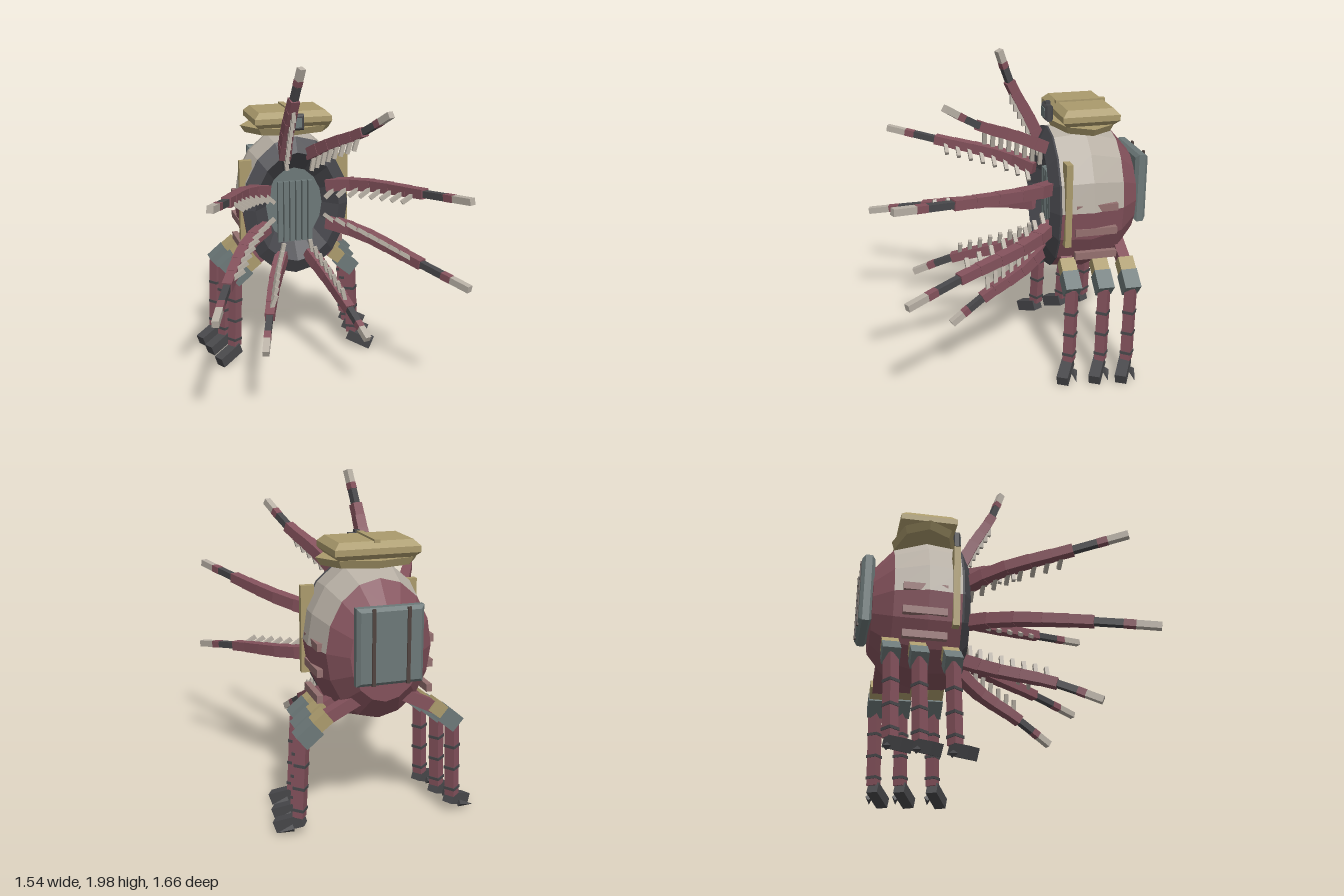
import * as THREE from 'three';

const mat = (name, color, side = THREE.FrontSide) => {
  const m = new THREE.MeshStandardMaterial({ color, flatShading: true, side });
  m.name = name;
  return m;
};
const maroon = mat('maroon', 0x84525c);
const pale = mat('pale', 0xb8b0a5);
const tan = mat('tan', 0xaa9a6c);
const steel = mat('steel', 0x6c7878);
const dark = mat('dark', 0x48484b);
const funnelGrey = mat('funnelGrey', 0x47474c);
const brown = mat('brown', 0x50433f);
const dusty = mat('dusty', 0x94706f);
for (const m of [maroon, pale, funnelGrey]) m.side = THREE.DoubleSide;

const CX = -0.02, CY = 1.07; // body axis
const V = (x, y, z) => new THREE.Vector3(x, y, z);

function add(parent, name, geo, material, x = 0, y = 0, z = 0) {
  const m = new THREE.Mesh(geo, material);
  m.name = name;
  m.position.set(x, y, z);
  parent.add(m);
  return m;
}
function box(parent, name, material, w, h, d, x, y, z) {
  return add(parent, name, new THREE.BoxGeometry(w, h, d), material, x, y, z);
}
// Box running from point a to point b
function beam(parent, name, material, a, b, w, h = w) {
  const m = new THREE.Mesh(new THREE.BoxGeometry(w, h, a.distanceTo(b)), material);
  m.name = name;
  m.position.copy(a).add(b).multiplyScalar(0.5);
  m.lookAt(b);
  parent.add(m);
  return m;
}
// Box with bevelled edges, centred on the origin
function bevelBox(w, h, d, b) {
  const x = w / 2 - b, y = h / 2 - b;
  const s = new THREE.Shape([[-x, -y], [x, -y], [x, y], [-x, y]].map(p => new THREE.Vector2(...p)));
  const g = new THREE.ExtrudeGeometry(s, { depth: d - 2 * b, bevelSize: b, bevelThickness: b, bevelSegments: 1 });
  return g.translate(0, 0, -d / 2 + b);
}
// Oval shell around the z axis; profile is [radius, z] from back to front
function shell(parent, name, material, profile, seg = 16, start = 0, len = Math.PI * 2) {
  const g = new THREE.LatheGeometry(profile.map(p => new THREE.Vector2(...p)), seg, start, len);
  g.rotateX(Math.PI / 2).scale(0.765, 1, 1);
  return add(parent, name, g, material, CX, CY, 0);
}

function buildBody(root) {
  const g = new THREE.Group();
  g.name = 'body';
  root.add(g);
  const sides = [[0.405, -0.635], [0.47, -0.435], [0.45, -0.235]];
  shell(g, 'rearShell', maroon, [[0, -0.76], [0.27, -0.75], [0.405, -0.635]]);
  shell(g, 'upperShell', pale, sides, 8, Math.PI / 2, Math.PI);
  shell(g, 'lowerShell', maroon, sides, 8, -Math.PI / 2, Math.PI);
  shell(g, 'mouthFunnel', funnelGrey, [[0.45, -0.238], [0.455, -0.225], [0.36, -0.178], [0.24, -0.27]]);
  shell(g, 'mouthPlate', steel, [[0.25, -0.268], [0, -0.268]]);
  for (let i = 0; i < 6; i++)
    box(g, 'mouthBar', steel, 0.03, 0.4, 0.03, CX + (i - 2.5) * 0.04, 1.03, -0.245);
  for (const s of [-1, 1]) {
    box(g, 'sidePlank', tan, 0.08, 0.52, 0.04, CX + s * 0.317, 1.12, -0.275);
    for (const y of [0.79, 0.942, 1.093])
      box(g, 'sideVent', dusty, 0.035, 0.045, 0.26, CX + s * 0.33, y, -0.455);
  }
}

function buildPacks(root) {
  // Roof pack
  const roof = new THREE.Group();
  roof.name = 'roofPack';
  root.add(roof);
  const brim = new THREE.CylinderGeometry(0.31, 0.28, 0.045, 8).scale(1, 1, 0.66);
  add(roof, 'roofBrim', brim, tan, CX, 1.548, -0.435);
  add(roof, 'roofBox', bevelBox(0.5, 0.35, 0.105, 0.035).rotateX(-Math.PI / 2), tan, CX, 1.617, -0.435);
  box(roof, 'roofRidge', tan, 0.035, 0.02, 0.31, CX, 1.67, -0.435);
  // Lamp above the mouth
  const lamp = new THREE.Group();
  lamp.name = 'lamp';
  root.add(lamp);
  add(lamp, 'lampBody', bevelBox(0.11, 0.1, 0.05, 0.012), dark, CX, 1.613, -0.23);
  box(lamp, 'lampLens', steel, 0.07, 0.06, 0.008, CX, 1.613, -0.204);
  box(lamp, 'lampKnob', dark, 0.03, 0.02, 0.03, CX, 1.668, -0.23);
  // Rear tank with two straps
  const tank = new THREE.Group();
  tank.name = 'rearTank';
  root.add(tank);
  add(tank, 'tankBox', bevelBox(0.385, 0.435, 0.08, 0.02), steel, CX, 1.138, -0.785);
  for (const s of [-1, 1])
    box(tank, 'tankStrap', brown, 0.02, 0.43, 0.012, CX + s * 0.1, 1.138, -0.826);
}

// One leg: side s, outward shift u, depth z
function buildLeg(root, s, u, z) {
  const g = new THREE.Group();
  g.name = s > 0 ? 'leftLeg' : 'rightLeg';
  root.add(g);
  const P = (x, y, dz = 0) => V(CX + s * (x + u), y, z + dz);
  beam(g, 'thigh', maroon, P(0.12 - u, 0.81), P(0.29, 0.69), 0.07);
  beam(g, 'hip', tan, P(0.25, 0.725), P(0.32, 0.67), 0.095, 0.08);
  beam(g, 'knee', steel, P(0.315, 0.665), P(0.41, 0.585), 0.1, 0.1);
  const top = P(0.392, 0.6), ankle = P(0.412, 0.12, 0.015);
  beam(g, 'shin', maroon, top, ankle, 0.062);
  for (const t of [0.33, 0.62, 0.9]) {
    const a = top.clone().lerp(ankle, t - 0.018), b = top.clone().lerp(ankle, t + 0.018);
    beam(g, 'shinRing', dark, a, b, 0.07);
  }
  beam(g, 'foot', dark, P(0.39, 0.105, 0.01), P(0.53, 0.045, 0.09), 0.07, 0.07);
  const claw = add(g, 'claw', new THREE.ConeGeometry(0.022, 0.1, 4), dark);
  claw.position.copy(P(0.5, 0.05, 0));
  claw.quaternion.setFromUnitVectors(V(0, 1, 0), V(s, -0.25, 0.1).normalize());
}

// Jointed tentacle through base, bend, elbow and tip, with a row of pegs facing the axis
function buildTentacle(root, pts) {
  const g = new THREE.Group();
  g.name = 'tentacle';
  root.add(g);
  const curve = new THREE.CatmullRomCurve3(pts.map(p => V(...p)));
  const parts = [
    [0, 0.15, maroon], [0.14, 0.29, maroon], [0.28, 0.43, maroon], [0.42, 0.56, maroon],
    [0.55, 0.68, maroon], [0.67, 0.83, dark], [0.82, 0.88, maroon], [0.87, 1, pale],
  ];
  parts.forEach(([a, b, m], i) => {
    const w = [0.075, 0.07, 0.066, 0.062, 0.058, 0.04, 0.042, 0.04][i];
    const name = m === pale ? 'tentacleTip' : m === dark ? 'tentacleCable' : 'tentacleSegment';
    beam(g, name, m, curve.getPointAt(a), curve.getPointAt(b), w);
  });
  for (let i = 0; i < 8; i++) {
    const p = curve.getPointAt(0.07 + i * 0.078);
    const dir = V((CX - p.x) * 0.6, CY - p.y, 0).normalize();
    const len = 0.125 - i * 0.003;
    beam(g, 'peg', pale, p.clone().addScaledVector(dir, 0.02), p.clone().addScaledVector(dir, len), 0.024);
  }
}

export function createModel() {
  const root = new THREE.Group();
  root.name = 'walker';
  buildBody(root);
  buildPacks(root);
  for (const s of [-1, 1])
    [[0, -0.295], [0.03, -0.49], [0.06, -0.65]].forEach(([u, z]) => buildLeg(root, s, u, z));
  const tentacles = [
    [[-0.1, 1.4, -0.21], [-0.1, 1.57, -0.13], [-0.09, 1.77, -0.02], [-0.06, 1.99, 0.06]],
    [[0.07, 1.41, -0.21], [0.16, 1.53, 0.02], [0.26, 1.63, 0.24], [0.35, 1.77, 0.455]],
    [[0.19, 1.2, -0.21], [0.35, 1.235, -0.04], [0.57, 1.29, 0.45], [0.71, 1.33, 0.8]],
    [[0.19, 0.95, -0.21], [0.35, 0.92, -0.04], [0.58, 0.845, 0.43], [0.75, 0.785, 0.75]],
    [[-0.22, 0.95, -0.21], [-0.38, 0.92, -0.02], [-0.61, 0.845, 0.46], [-0.75, 0.785, 0.82]],
    [[-0.22, 1.19, -0.21], [-0.37, 1.24, -0.04], [-0.58, 1.31, 0.36], [-0.73, 1.37, 0.67]],
    [[-0.12, 0.75, -0.2], [-0.21, 0.67, -0.02], [-0.33, 0.57, 0.31], [-0.42, 0.45, 0.57]],
    [[0.06, 0.76, -0.2], [0.13, 0.65, -0.04], [0.19, 0.53, 0.2], [0.25, 0.39, 0.43]],
  ];
  tentacles.forEach(p => buildTentacle(root, p));
  return root;
}
